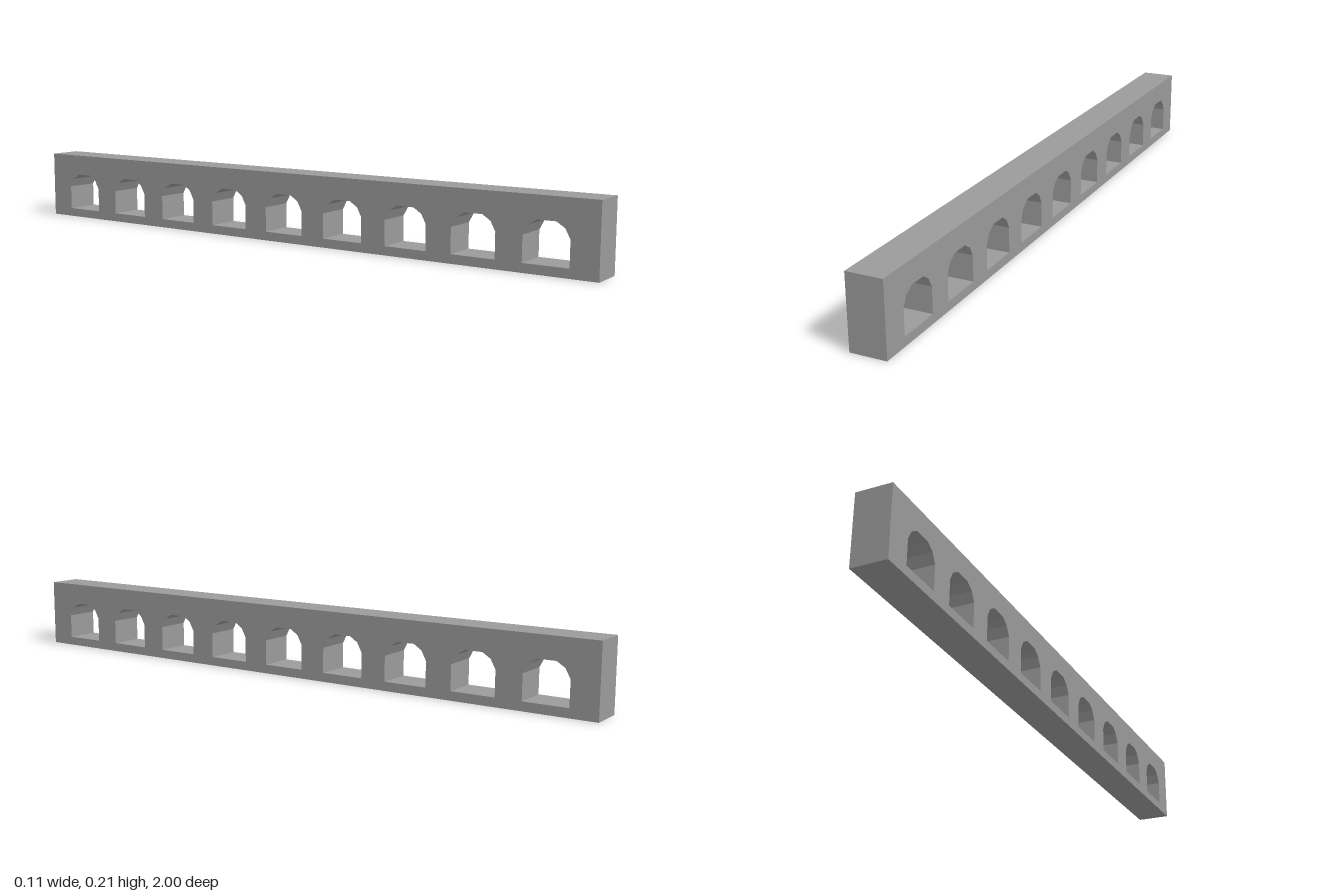
import * as THREE from 'three';

const LENGTH = 2, HEIGHT = 0.213, DEPTH = 0.106;
const COUNT = 9, PITCH = 0.213;

// Right half of one arched opening, from sill to crown
const ARCH = [[0.067, 0.027], [0.067, 0.103], [0.052, 0.131], [0.027, 0.147]];

function archHole(cx) {
  const right = ARCH.map(([x, y]) => new THREE.Vector2(cx + x, y));
  const left = ARCH.map(([x, y]) => new THREE.Vector2(cx - x, y)).reverse();
  return new THREE.Path([...right, ...left]);
}

export function createModel() {
  const group = new THREE.Group();
  group.name = 'arcadeWall';

  // Long rectangular wall pierced by a row of arches
  const h = LENGTH / 2;
  const wall = new THREE.Shape([
    new THREE.Vector2(-h, 0), new THREE.Vector2(h, 0),
    new THREE.Vector2(h, HEIGHT), new THREE.Vector2(-h, HEIGHT),
  ]);
  for (let i = 0; i < COUNT; i++) {
    wall.holes.push(archHole((i - (COUNT - 1) / 2) * PITCH));
  }

  const geometry = new THREE.ExtrudeGeometry(wall, { depth: DEPTH, bevelEnabled: false });
  geometry.translate(0, 0, -DEPTH / 2);
  geometry.rotateY(-Math.PI / 2); // run the wall along z

  const mesh = new THREE.Mesh(
    geometry,
    new THREE.MeshStandardMaterial({ color: 0x9a9a9a, flatShading: true })
  );
  mesh.name = 'archedWall';
  group.add(mesh);
  return group;
}
